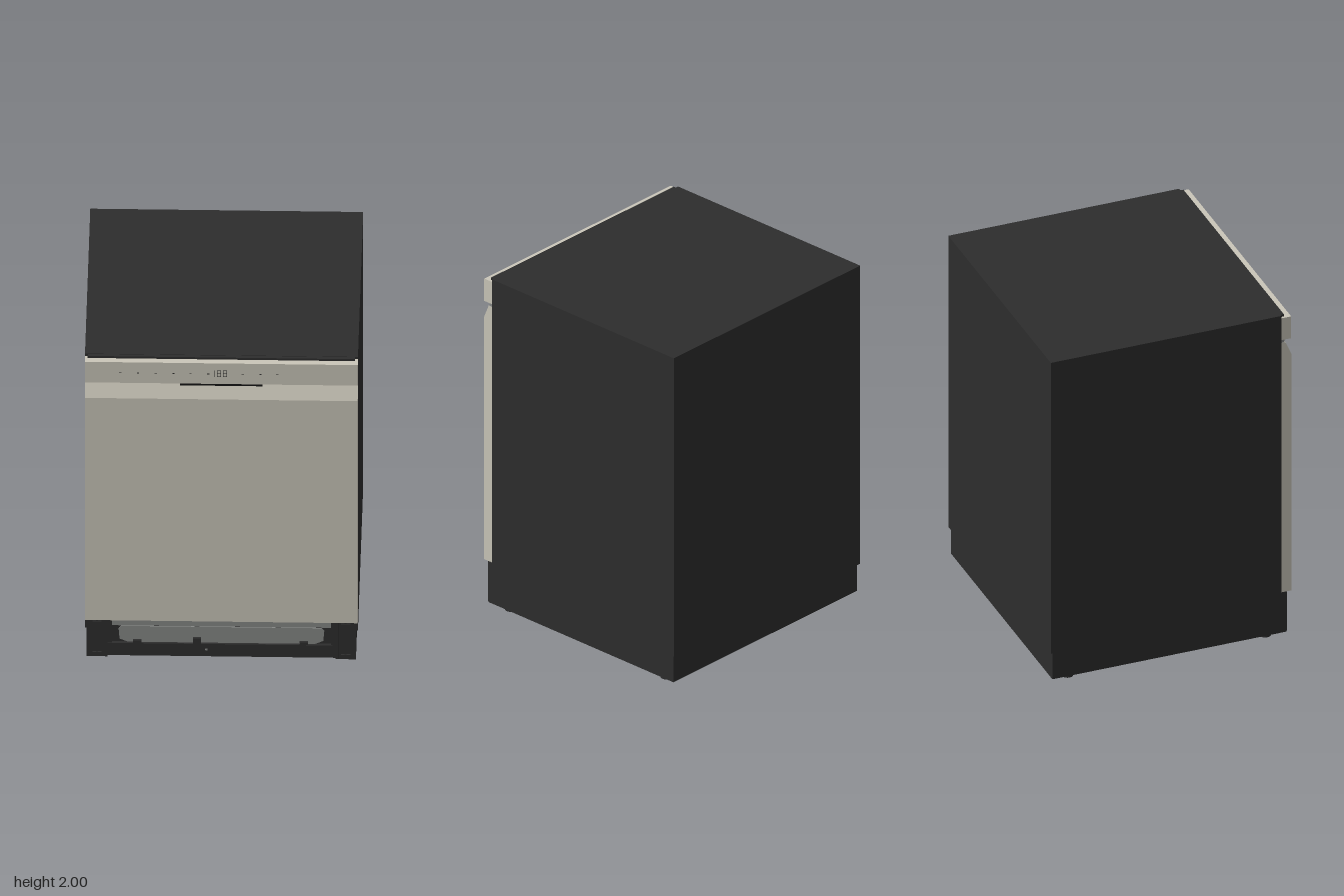
import * as THREE from 'three';

export function createModel() {
  const root = new THREE.Group();
  const mat = (name, color) => {
    const m = new THREE.MeshStandardMaterial({ color });
    m.name = name;
    return m;
  };
  const dark = mat('charcoal', 0x2d2d2d);
  const cream = mat('cream', 0xcac6b9);
  const grey = mat('grey', 0x868886);
  const black = mat('black', 0x151515);

  const add = (name, geo, material, parent = root) => {
    const mesh = new THREE.Mesh(geo, material);
    mesh.name = name;
    parent.add(mesh);
    return mesh;
  };
  // Box given by its limits on each axis
  const box = (name, material, x0, x1, y0, y1, z0, z1, parent = root) => {
    const mesh = add(name, new THREE.BoxGeometry(x1 - x0, y1 - y0, z1 - z0), material, parent);
    mesh.position.set((x0 + x1) / 2, (y0 + y1) / 2, (z0 + z1) / 2);
    return mesh;
  };
  // Side profile of [z, y] points extruded across the width
  const acrossWidth = (name, material, points, halfWidth) => {
    const shape = new THREE.Shape(points.map(([z, y]) => new THREE.Vector2(-z, y)));
    const geo = new THREE.ExtrudeGeometry(shape, { depth: halfWidth * 2, bevelEnabled: false });
    geo.translate(0, 0, -halfWidth).rotateY(Math.PI / 2);
    return add(name, geo, material);
  };

  // Cabinet and base
  box('cabinet', dark, -0.73, 0.73, 0.2, 2, -0.695, 0.637);
  box('base', dark, -0.72, 0.72, 0.035, 0.2, -0.682, 0.605);
  box('topSeal', dark, -0.715, 0.715, 1.97, 1.998, 0.637, 0.656);

  // Door with a sloped grip edge
  acrossWidth('door', cream, [
    [0.637, 0.29], [0.695, 0.29], [0.695, 1.75], [0.66, 1.832], [0.637, 1.832],
  ], 0.73);
  box('gripChannel', grey, -0.728, 0.728, 1.83, 1.852, 0.637, 0.655);
  box('gripPocket', black, -0.22, 0.22, 1.838, 1.85, 0.655, 0.692);
  box('controlPanel', cream, -0.73, 0.73, 1.85, 1.985, 0.637, 0.692);

  // Display segments and touch marks
  const controls = new THREE.Group();
  controls.name = 'controls';
  root.add(controls);
  const mark = (name, x, y, w, h) =>
    box(name, dark, x - w / 2, x + w / 2, y - h / 2, y + h / 2, 0.691, 0.6935, controls);
  for (const x of [-0.012, 0.02]) {
    for (const s of [-1, 1]) {
      mark('displayUpright', x + s * 0.01, 1.918, 0.003, 0.042);
      mark('displayBar', x, 1.918 + s * 0.02, 0.018, 0.003);
    }
    mark('displayBar', x, 1.918, 0.018, 0.003);
  }
  mark('displayUpright', -0.037, 1.918, 0.003, 0.042);
  for (const x of [-0.54, -0.445, -0.35, -0.255, -0.165, -0.07, 0.115, 0.21, 0.3]) {
    mark('touchMark', x, 1.916, 0.012, 0.004);
  }

  // Corner legs with ribs and side cheeks
  for (const s of [-1, 1]) {
    const side = s < 0 ? 'right' : 'left';
    const span = (name, a, b, y0, y1, z0, z1) =>
      box(side + name, dark, Math.min(s * a, s * b), Math.max(s * a, s * b), y0, y1, z0, z1);
    span('FrontLeg', 0.61, 0.72, 0.035, 0.289, 0.6, 0.67);
    for (const x of [0.618, 0.66, 0.708]) span('LegRib', x, x + 0.01, 0.04, 0.285, 0.665, 0.674);
    span('LegBoss', 0.64, 0.69, 0.05, 0.07, 0.665, 0.679);
    span('LegBoss', 0.64, 0.69, 0.25, 0.27, 0.665, 0.679);
    span('Cheek', 0.585, 0.61, 0.115, 0.289, 0.6, 0.655);
  }

  // Toe kick with a grey insert
  box('kickBacking', dark, -0.61, 0.61, 0.035, 0.225, 0.6, 0.64);
  box('kickSill', dark, -0.61, 0.61, 0.035, 0.115, 0.6, 0.658);
  box('kickUpperPlate', grey, -0.585, 0.585, 0.222, 0.29, 0.63, 0.645);
  const insert = new THREE.Shape([
    [-0.5, 0.115], [0.5, 0.115], [0.545, 0.135], [0.55, 0.2], [0.535, 0.218],
    [-0.535, 0.218], [-0.55, 0.2], [-0.545, 0.135],
  ].map(([x, y]) => new THREE.Vector2(x, y)));
  add('kickInsert', new THREE.ExtrudeGeometry(insert, { depth: 0.006, bevelEnabled: false }), grey)
    .position.z = 0.639;
  for (const [x, w, h] of [[-0.45, 0.045, 0.018], [-0.13, 0.042, 0.035], [0.44, 0.045, 0.018]]) {
    box('kickClip', dark, x - w / 2, x + w / 2, 0.114, 0.115 + h, 0.64, 0.657);
  }
  const screw = add('kickScrew', new THREE.CylinderGeometry(0.007, 0.007, 0.004, 12), grey);
  screw.rotation.x = Math.PI / 2;
  screw.position.set(-0.08, 0.08, 0.659);

  // Levelling feet
  for (const x of [-0.65, 0.65]) {
    for (const z of [-0.567, 0.573]) {
      add('foot', new THREE.CylinderGeometry(0.032, 0.032, 0.04, 20), dark).position.set(x, 0.02, z);
    }
  }
  return root;
}
